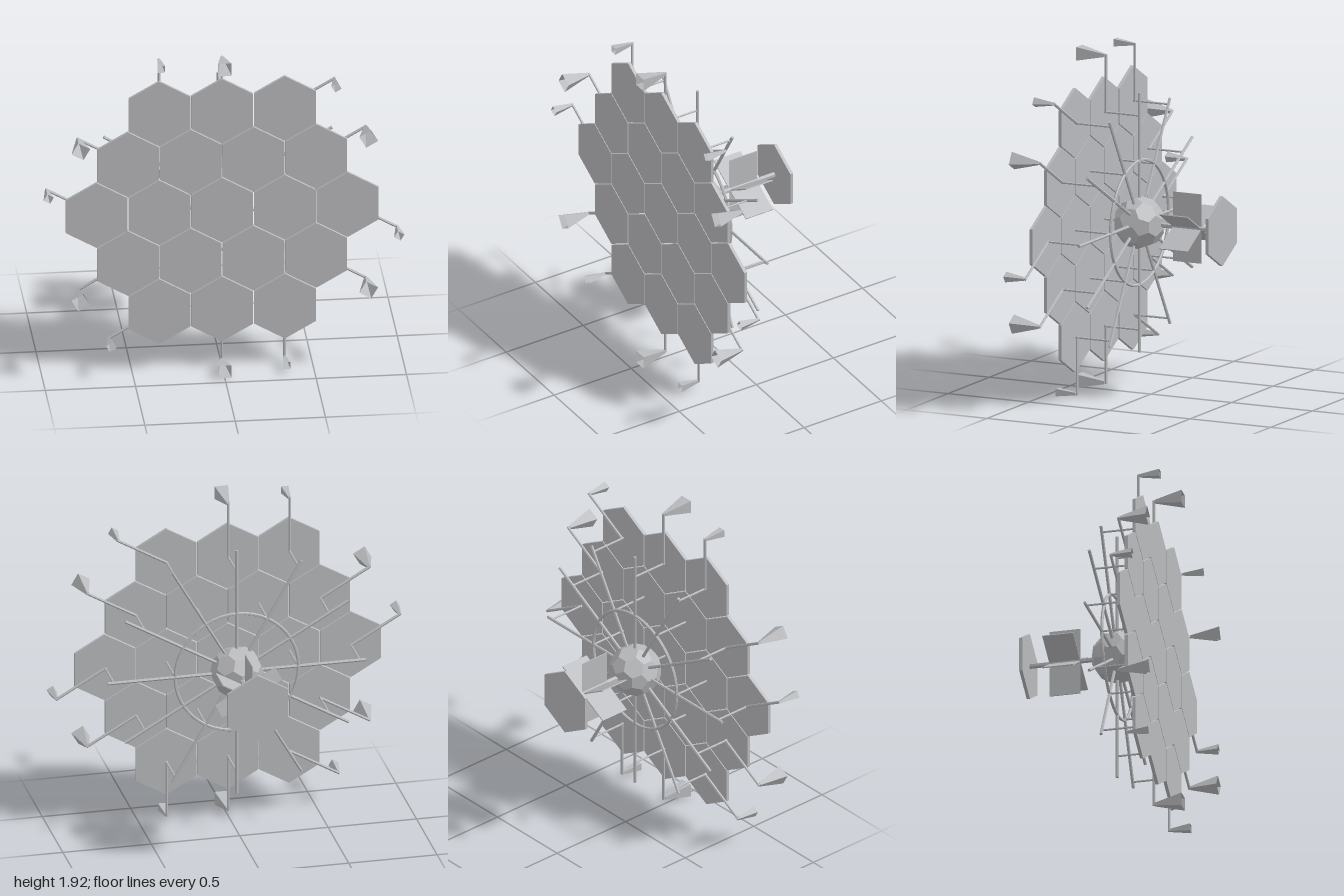
import * as THREE from 'three';
import { ConvexGeometry } from 'three/addons/geometries/ConvexGeometry.js';

const grey = new THREE.MeshStandardMaterial({ color: 0xb9babd, flatShading: true, side: THREE.DoubleSide });
grey.name = 'satin grey';

const PITCH = 0.3475;      // spacing of the hexagonal panels
const ROW = PITCH * Math.sqrt(3) / 2;
const FRAME_Z = 0.07;      // plane of hub, spokes and ring
const ARM_Z = 0.278;       // plane just behind the panels

function mesh(parent, name, geometry, x = 0, y = 0, z = 0) {
  const m = new THREE.Mesh(geometry, grey);
  m.name = name;
  m.position.set(x, y, z);
  parent.add(m);
  return m;
}

// Straight six-sided rod between two points
function rod(parent, name, from, to, radius) {
  const a = new THREE.Vector3(...from), b = new THREE.Vector3(...to);
  const dir = b.clone().sub(a);
  const m = mesh(parent, name, new THREE.CylinderGeometry(radius, radius, dir.length(), 6));
  m.position.copy(a).add(b).multiplyScalar(0.5);
  m.quaternion.setFromUnitVectors(new THREE.Vector3(0, 1, 0), dir.normalize());
}

// Pointy-top hexagonal plate lying in the xy plane
function hexPlate(parent, name, x, y, z) {
  const g = new THREE.CylinderGeometry(0.197, 0.197, 0.018, 6).rotateX(Math.PI / 2);
  mesh(parent, name, g, x, y, z);
}

// Open square horn that widens towards +z
function horn(parent, name, x, y, mouth, throat, zBack, zFront) {
  const s = Math.SQRT1_2, depth = zFront - zBack;
  const walls = new THREE.CylinderGeometry(mouth * s, throat * s, depth, 4, 1, true, Math.PI / 4)
    .rotateX(Math.PI / 2);
  mesh(parent, name, walls, x, y, (zBack + zFront) / 2);
  mesh(parent, name + 'Throat', new THREE.PlaneGeometry(throat, throat), x, y, zBack);
}

// Truncated icosahedron: every icosahedron edge cut at its thirds
function hubGeometry(radius) {
  const p = (1 + Math.sqrt(5)) / 2, corners = [], points = [];
  for (const a of [-1, 1]) for (const b of [-p, p]) {
    corners.push(new THREE.Vector3(0, a, b), new THREE.Vector3(a, b, 0), new THREE.Vector3(b, 0, a));
  }
  for (const a of corners) for (const b of corners) {
    if (a !== b && a.distanceTo(b) < 2.1) points.push(a.clone().lerp(b, 1 / 3).setLength(radius));
  }
  return new ConvexGeometry(points);
}

export function createModel() {
  const model = new THREE.Group();
  model.name = 'segmentedArray';
  const body = new THREE.Group();
  body.name = 'arrayBody';
  body.position.y = 0.96;
  model.add(body);

  // Nineteen front panels in rows of 3, 4, 5, 4, 3
  for (let r = -2; r <= 2; r++) {
    const count = 5 - Math.abs(r);
    for (let i = 0; i < count; i++) {
      hexPlate(body, 'frontPanel', (i - (count - 1) / 2) * PITCH, r * ROW, 0.296);
    }
  }

  // Hub, ring and centre post
  mesh(body, 'hub', hubGeometry(0.146), 0, 0, FRAME_Z);
  mesh(body, 'ring', new THREE.TorusGeometry(0.349, 0.009, 6, 48), 0, 0, FRAME_Z);
  rod(body, 'centrePost', [0, 0, FRAME_Z], [0, 0, 0.29], 0.006);

  // Six repeated sectors: spokes, posts, arms and horns
  for (let k = 0; k < 6; k++) {
    const sector = new THREE.Group();
    sector.name = 'sector';
    sector.rotation.z = k * Math.PI / 3;
    body.add(sector);

    const top = 2 * ROW, reach = 0.73;
    rod(sector, 'spoke', [0, 0.1, FRAME_Z], [0, reach, FRAME_Z], 0.009);
    rod(sector, 'spoke', [-0.05, 0.0866, FRAME_Z], [-reach / 2, reach * 0.866, FRAME_Z], 0.009);
    rod(sector, 'innerPost', [-PITCH / 2, ROW, FRAME_Z], [-PITCH / 2, ROW, 0.29], 0.006);
    for (const x of [0, -PITCH]) {
      rod(sector, 'outerPost', [x, top, FRAME_Z], [x, top, 0.29], 0.006);
      rod(sector, 'hornArm', [x, top - 0.006, ARM_Z], [x, 0.926, ARM_Z], 0.008);
    }
    horn(sector, 'largeHorn', 0, 0.92, 0.076, 0.016, 0.284, 0.444);
    horn(sector, 'smallHorn', -PITCH, 0.92, 0.042, 0.014, 0.284, 0.4);
  }

  // Rear mast with six radial fins and an end plate
  rod(body, 'mast', [0, 0, -0.06], [0, 0, -0.435], 0.015);
  for (let k = 0; k < 6; k++) {
    const fin = mesh(body, 'fin', new THREE.BoxGeometry(0.006, 0.195, 0.175).translate(0, 0.0975, 0), 0, 0, -0.226);
    fin.rotation.z = k * Math.PI / 3;
  }
  hexPlate(body, 'endPlate', 0, 0, -0.435);

  return model;
}
